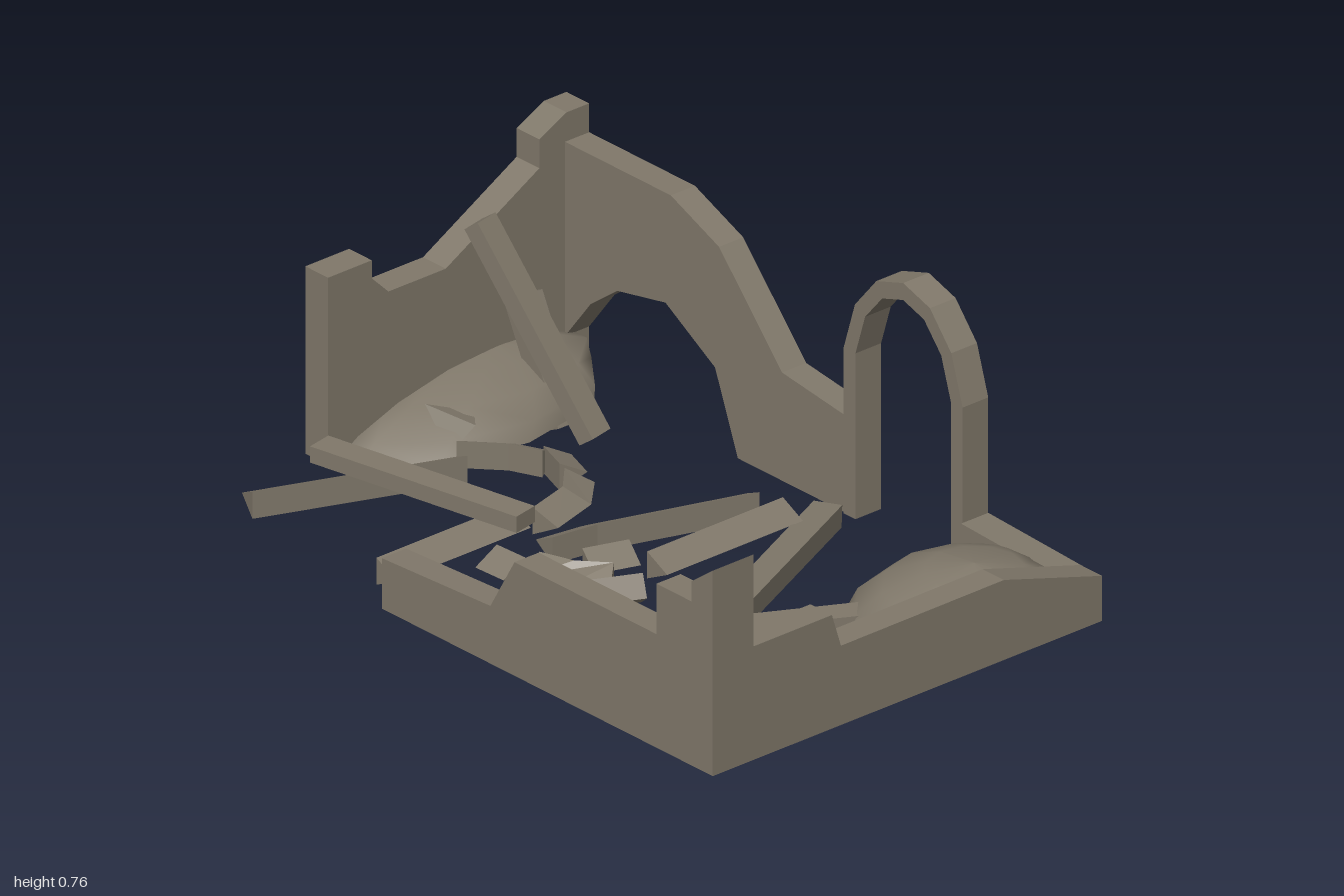
import * as THREE from 'three';

export function createModel() {
  const model = new THREE.Group();
  const stone = new THREE.MeshStandardMaterial({ color: 0x80786a });
  stone.name = 'weathered stone';
  const add = (name, geometry, smooth = false) => {
    const mesh = new THREE.Mesh(geometry.index && !smooth ? geometry.toNonIndexed() : geometry, stone);
    mesh.geometry.computeVertexNormals();
    mesh.name = name;
    model.add(mesh);
    return mesh;
  };
  const extrude = (points, depth) => new THREE.ExtrudeGeometry(
    new THREE.Shape(points.map(([x, y]) => new THREE.Vector2(x, y))),
    { depth, bevelEnabled: false });

  // Walls running along x: outline in (x, y), starting at z
  const wallX = (name, points, z, depth) => add(name, extrude(points, depth).translate(0, 0, z));
  // Walls running along z: outline in (z, y), starting at x
  const wallZ = (name, points, x, depth) =>
    add(name, extrude(points.map(([z, y]) => [-z, y]), depth).rotateY(Math.PI / 2).translate(x, 0, 0));

  wallX('frontWall', [[-0.235, 0.04], [0.92, 0.04], [0.92, 0.495], [0.79, 0.495], [0.79, 0.355],
    [0.26, 0.355], [0.17, 0.2], [-0.235, 0.18]], 0.565, 0.08);

  // Back wall with a broken opening at its foot
  wallX('backWall', [[0.13, 0.04], [0.13, 0.31], [-0.105, 0.34], [-0.34, 0.6],
    [-0.52, 0.675], [-0.92, 0.675], [-0.92, 0.13], [-0.82, 0.26], [-0.72, 0.335], [-0.54, 0.37],
    [-0.355, 0.26], [-0.32, 0.17], [-0.27, 0.04]], -0.645, 0.08);
  wallX('backWallStump', [[0.575, 0.04], [0.93, 0.04], [0.93, 0.165], [0.575, 0.18]], -0.645, 0.09);

  wallZ('leftWall', [[0.22, 0.04], [0.22, 0.56], [0.075, 0.56], [0.075, 0.51], [0.02, 0.455],
    [-0.17, 0.455], [-0.48, 0.63], [-0.48, 0.71], [-0.57, 0.755], [-0.645, 0.755], [-0.645, 0.04]],
  -1, 0.085);
  const right = wallZ('rightWall', [[0.645, 0.04], [0.645, 0.61], [0.51, 0.61], [0.51, 0.355],
    [0.25, 0.355], [0.22, 0.26], [-0.32, 0.262], [-0.645, 0.165], [-0.645, 0.04]], 0.92, 0.08);
  // Slope the top of the corner block towards the inside
  const rp = right.geometry.attributes.position;
  for (let i = 0; i < rp.count; i++) if (rp.getY(i) > 0.6 && rp.getX(i) < 0.95) rp.setY(i, 0.55);
  right.geometry.computeVertexNormals();

  // Doorway arch
  const half = [[0.222, 0.04], [0.222, 0.5], [0.18, 0.635], [0.1, 0.73], [0, 0.762]];
  const inner = [[0, 0.715], [0.078, 0.69], [0.142, 0.615], [0.178, 0.5], [0.178, 0.04]];
  const mirror = (pts) => pts.map(([x, y]) => [-x, y]).reverse();
  const arch = [...half, ...mirror(half).slice(1), ...mirror(inner), ...inner.slice(1)];
  wallX('doorArch', arch.map(([x, y]) => [x + 0.353, y]), -0.645, 0.085);

  // Earth mounds: smooth heaps pressed into the corners, closed below; the top leans along z
  const mound = (name, c, r, segments, lean) => {
    const place = (g) => {
      const p = g.attributes.position;
      for (let i = 0; i < p.count; i++) {
        const h = Math.pow(Math.max(p.getY(i), 0), 1.25);
        p.setXYZ(i, THREE.MathUtils.clamp(c[0] + p.getX(i) * r[0], -0.95, 0.95),
          c[1] + h * r[1], Math.max(c[2] + p.getZ(i) * r[2] + h * lean, -0.6));
      }
      return g;
    };
    add(name, place(new THREE.SphereGeometry(1, segments, 4, 0, Math.PI * 2, 0, Math.PI / 2)), true);
    add(name + 'Base', place(new THREE.CircleGeometry(1, segments).rotateX(Math.PI / 2)));
  };
  mound('rightMound', [0.81, 0.045, -0.39], [0.33, 0.17, 0.33], 12, 0);
  mound('leftMound', [-0.93, 0.045, -0.23], [0.26, 0.14, 0.44], 10, -0.12);

  // Fallen beams: start, end, width, height, roll, apex (side of a wedge's sharp edge, 0 for a box)
  const beams = [
    [[-0.83, 0.152, 0.325], [-0.2, 0.152, 0.2], 0.075, 0.045, 0, 0],
    [[-0.845, 0.083, 0.55], [-0.64, 0.083, 0.02], 0.075, 0.075, 0, 1],
    [[-0.015, 0.08, -0.39], [-0.15, 0.08, 0.03], 0.075, 0.075, 0, -1],
    [[-0.15, 0.08, 0.03], [-0.17, 0.08, 0.165], 0.075, 0.075, 0, -1],
    [[0.122, 0.083, -0.4], [0.122, 0.083, 0.05], 0.075, 0.075, 0, 1],
    [[-0.297, 0.083, 0.13], [-0.297, 0.083, 0.575], 0.075, 0.075, 0, 1],
    [[0.105, 0.038, -0.53], [0.595, 0.13, 0.34], 0.075, 0.06, 0, 0],
    [[0.32, 0.07, 0.45], [0.79, 0.07, -0.43], 0.075, 0.065, 0, 0],
    [[0.195, 0.1, 0.165], [0.01, 0.1, 0.555], 0.065, 0.065, 0.6, 0],
    [[-0.9, 0.56, -0.27], [-0.555, 0.065, -0.345], 0.075, 0.05, 0, 0],
    [[-0.88, 0.32, -0.395], [-0.73, 0.015, -0.395], 0.08, 0.06, 0, 0],
  ];
  for (const [a, b, w, h, roll, apex] of beams) {
    const start = new THREE.Vector3(...a), end = new THREE.Vector3(...b);
    const length = start.distanceTo(end), s = apex * w / 2;
    const beam = add('fallenBeam', apex
      ? extrude([[-s, -h / 2], [s, 0], [-s, h / 2]], length).translate(0, 0, -length / 2)
      : new THREE.BoxGeometry(w, h, length));
    beam.position.lerpVectors(start, end, 0.5);
    beam.lookAt(end);
    beam.rotateZ(roll);
  }

  // Broken arch pieces lying flat: bent wedges along (x, z) paths, sharp on the outer curve
  const fragment = (path) => {
    const width = 0.075, height = 0.075;
    const v = path.map(([x, z]) => new THREE.Vector2(x, -z));
    const side = (s) => v.map((p, i) => {
      const d = v[Math.min(i + 1, v.length - 1)].clone().sub(v[Math.max(i - 1, 0)]).normalize();
      return [p.x - d.y * s * width / 2, p.y + d.x * s * width / 2];
    });
    const outer = side(1);
    const g = extrude([...side(-1), ...outer.slice().reverse()], height);
    const p = g.attributes.position;
    for (let i = 0; i < p.count; i++) {
      if (outer.some(([x, y]) => Math.hypot(x - p.getX(i), y - p.getY(i)) < 1e-4)) p.setZ(i, height / 2);
    }
    add('archFragment', g.rotateX(-Math.PI / 2).translate(0, 0.045, 0));
  };
  fragment([[-0.71, -0.03], [-0.61, -0.12], [-0.52, -0.16]]);
  fragment([[-0.51, -0.18], [-0.41, -0.145]]);
  fragment([[-0.37, -0.13], [-0.29, -0.05], [-0.25, 0.09]]);
  fragment([[0.04, 0.05], [0, 0.17]]);
  fragment([[0.1, 0.18], [0.02, 0.25], [-0.08, 0.285]]);
  fragment([[-0.09, 0.335], [-0.19, 0.34]]);

  // Stone chip resting on the left mound
  const chip = add('stoneChip', new THREE.ConeGeometry(0.07, 0.12, 4));
  chip.position.set(-0.8, 0.12, -0.06);
  chip.rotation.set(0.5, 0.3, 0.6);
  return model;
}
